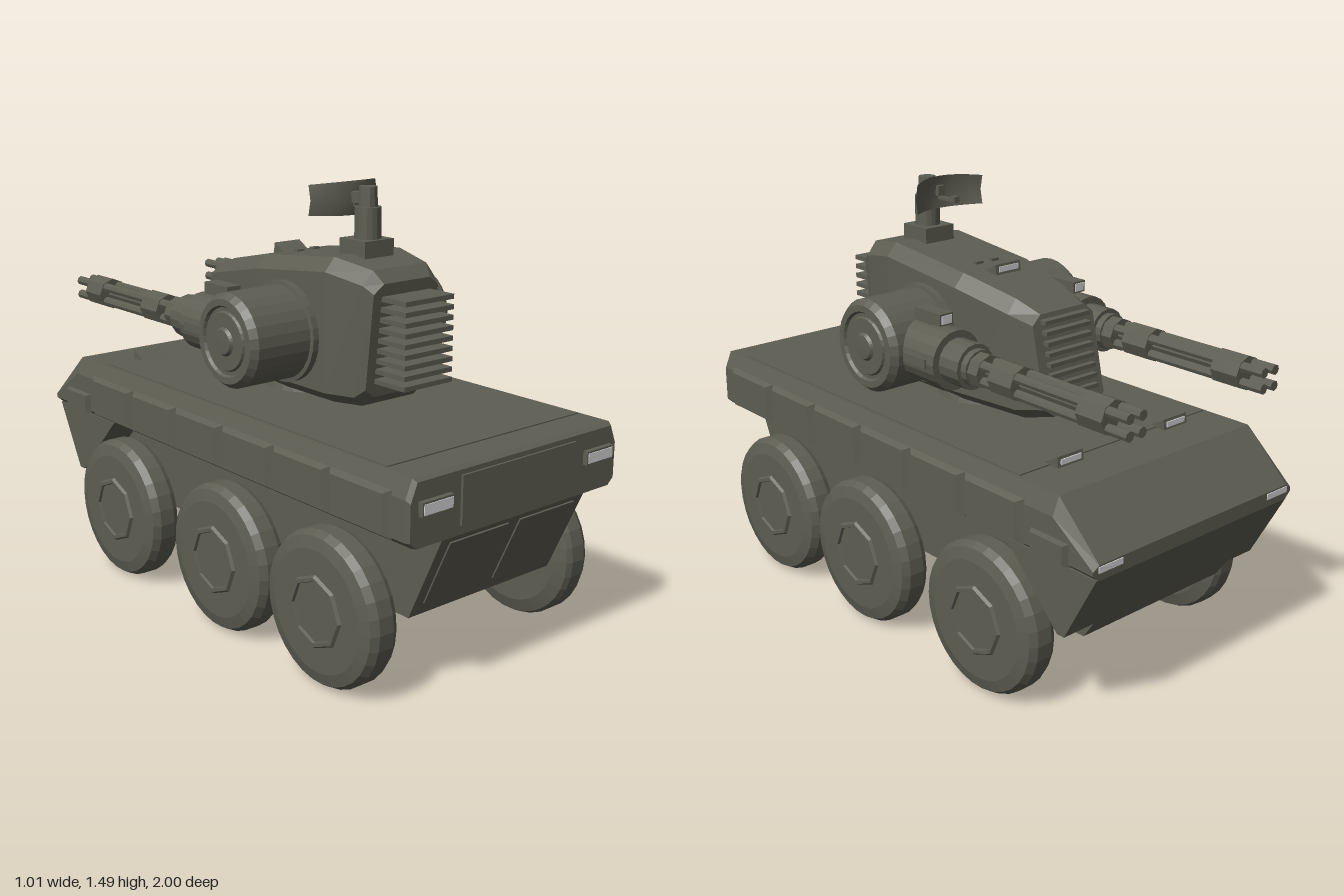
import * as THREE from 'three';

const V2 = (p) => new THREE.Vector2(p[0], p[1]);

// faceted normals
function flat(g) {
  const f = g.index ? g.toNonIndexed() : g;
  f.computeVertexNormals();
  return f;
}

// side profile of [z, y] points, extruded across x
function prism(profile, width) {
  const g = new THREE.ExtrudeGeometry(new THREE.Shape(profile.map(V2)), { depth: width, bevelEnabled: false });
  return g.translate(0, 0, -width / 2).rotateY(-Math.PI / 2);
}

// chamfered cross-section; z leans from zBottom to zTop
function ring({ w, y0, y1, z0, z1, cx, top, bottom }) {
  const right = [[w - cx, y0], [w, y0 + bottom], [w, y1 - top], [w - cx, y1]];
  const left = right.map(([x, y]) => [-x, y]).reverse();
  return [...right, ...left].map(([x, y]) => [x, y, z0 + (z1 - z0) * (y - y0) / (y1 - y0)]);
}

// skin over rings ordered from front to back, capped at both ends
function loft(rings) {
  const n = rings[0].length, idx = [];
  for (let s = 0; s < rings.length - 1; s++) {
    for (let i = 0; i < n; i++) {
      const j = (i + 1) % n, a = s * n, b = a + n;
      idx.push(a + i, b + i, b + j, a + i, b + j, a + j);
    }
  }
  const last = (rings.length - 1) * n;
  for (let i = 1; i < n - 1; i++) idx.push(0, i, i + 1, last, last + i + 1, last + i);
  const g = new THREE.BufferGeometry();
  g.setAttribute('position', new THREE.Float32BufferAttribute(rings.flat(2), 3));
  g.setIndex(idx);
  return flat(g);
}

// turned part along +x, points are [radius, x]
const turnedX = (pts, sides) =>
  flat(new THREE.LatheGeometry(pts.map(V2), sides).rotateZ(-Math.PI / 2));

// tube along z between two depths
function rodZ(r, zFront, zBack, sides) {
  return flat(new THREE.CylinderGeometry(r, r, zFront - zBack, sides).rotateX(Math.PI / 2).translate(0, 0, (zFront + zBack) / 2));
}

export function createModel() {
  const armour = new THREE.MeshStandardMaterial({ color: 0x5e5d52 });
  armour.name = 'olive armour';
  const glass = new THREE.MeshStandardMaterial({ color: 0xd6d6d6 });
  glass.name = 'pale lens';
  const sheet = new THREE.MeshStandardMaterial({ color: 0x5e5d52, side: THREE.DoubleSide });
  sheet.name = 'olive sheet';

  const model = new THREE.Group();
  model.name = 'armouredVehicle';
  const add = (name, geo, pos = [0, 0, 0], parent = model, mat = armour) => {
    const m = new THREE.Mesh(geo, mat);
    m.name = name;
    m.position.set(...pos);
    parent.add(m);
    return m;
  };
  const box = (name, size, pos, parent, mat) => add(name, new THREE.BoxGeometry(...size), pos, parent, mat);

  // upper hull with sloped tail
  const hull = (z, y1, top, w = 0.457) => ring({ w, y0: 0.555, y1, z0: z, z1: z, cx: 0.025, top, bottom: 0.022 });
  add('upperHull', loft([hull(0.98, 0.755, 0.06, 0.45), hull(0.965, 0.765, 0.06), hull(-0.83, 0.765, 0.06), hull(-0.997, 0.605, 0.015)]));
  box('deckPlate', [0.84, 0.006, 1.5], [0, 0.766, 0.1]);
  box('nosePanel', [0.5, 0.155, 0.014], [0, 0.662, 0.981]);

  // lower hull and rear skirt
  add('lowerHull', prism([[0.975, 0.556], [0.84, 0.26], [-0.83, 0.26], [-0.87, 0.32], [-0.99, 0.556]], 0.63));
  add('rearSkirt', prism([[-0.61, 0.556], [-0.84, 0.32], [-0.87, 0.32], [-0.995, 0.556]], 0.88));

  const panel = flat(new THREE.CylinderGeometry(0.59, 0.707, 1, 4).rotateY(Math.PI / 4)
    .scale(0.15, 0.02, 0.268).rotateZ(-Math.PI / 2));
  const tyre = turnedX([[0, -0.065], [0.2, -0.065], [0.245, -0.05], [0.255, -0.03], [0.255, 0.025],
    [0.24, 0.05], [0.2, 0.06], [0, 0.06]], 30);
  const hub = turnedX([[0.125, 0.055], [0.115, 0.07], [0.103, 0.07], [0.1, 0.061], [0, 0.061]], 8);
  const pod = turnedX([[0, 0.16], [0.172, 0.16], [0.172, 0.205], [0.158, 0.207], [0.158, 0.415], [0.14, 0.438],
    [0.118, 0.438], [0.112, 0.428], [0.1, 0.428], [0.095, 0.436], [0.048, 0.436], [0.04, 0.446], [0, 0.448]], 28);
  const periscope = prism([[0.04, 0], [-0.02, 0.035], [-0.025, 0]], 0.11);

  for (const s of [1, -1]) {
    const side = s > 0 ? 'left' : 'right';
    // side armour plates
    for (let i = 0; i < 7; i++) {
      const m = add(side + 'SidePanel', panel, [s * 0.465, 0.645, 0.775 - i * 0.27]);
      m.rotation.y = s > 0 ? 0 : Math.PI;
      if (i === 6) { m.scale.set(1, 0.5, 0.6); m.position.set(s * 0.465, 0.605, -0.82); }
    }
    // wheels
    for (const z of [0.62, 0.09, -0.53]) {
      const wheel = new THREE.Group();
      wheel.name = side + 'Wheel';
      wheel.position.set(s * 0.436, 0.256, z);
      if (s < 0) wheel.rotation.y = Math.PI;
      model.add(wheel);
      add('tyre', tyre, [0, 0, 0], wheel);
      add('hub', hub, [0, 0, 0], wheel);
      box('axle', [0.13, 0.075, 0.08], [-0.1, 0.005, 0], wheel);
      box('suspensionArm', [0.07, 0.04, 0.14], [-0.1, 0.05, 0], wheel);
    }
    // lamps
    box(side + 'HeadlightHousing', [0.125, 0.045, 0.025], [s * 0.357, 0.675, 0.985]);
    box(side + 'Headlight', [0.115, 0.033, 0.004], [s * 0.357, 0.675, 0.998], model, glass);
    box(side + 'TailLight', [0.1, 0.02, 0.004], [s * 0.385, 0.59, -0.998], model, glass);
    // sloped nose plates
    box(side + 'LowerNosePlate', [0.25, 0.25, 0.01], [s * 0.15, 0.42, 0.913]).rotation.x = 0.43;
    // rear deck periscopes
    add(side + 'DeckPeriscope', periscope, [s * 0.24, 0.765, -0.66]);
    box(side + 'DeckPeriscopeLens', [0.085, 0.018, 0.004], [s * 0.24, 0.782, -0.685], model, glass);

    // gun pod
    const arm = add(side + 'GunPod', pod, [0, 0.995, 0.09]);
    if (s < 0) arm.rotation.y = Math.PI;
    const gun = new THREE.Group();
    gun.name = side + 'Gun';
    gun.position.set(s * 0.3, 0.995, 0);
    model.add(gun);
    add('mantlet', rodZ(0.1, 0.05, -0.22, 20), [0, 0, 0], gun);
    add('mantletNeck', rodZ(0.076, -0.2, -0.31, 16), [0, 0, 0], gun);
    add('mantletMuzzle', rodZ(0.062, -0.3, -0.335, 16), [0, 0, 0], gun);
    for (let i = 0; i < 4; i++) {
      const a = Math.PI / 4 + i * Math.PI / 2;
      add('barrel', rodZ(0.017, -0.3, -0.998, 8), [Math.cos(a) * 0.037, Math.sin(a) * 0.037, 0], gun);
    }
    add('barrelCore', rodZ(0.02, -0.3, -0.9, 8), [0, 0, 0], gun);
    for (const z of [-0.33, -0.43, -0.81]) add('barrelClamp', rodZ(0.057, z, z - (z > -0.4 ? 0.05 : 0.105), 8), [0, 0, 0], gun);
    box('sightMount', [0.035, 0.05, 0.07], [0, 0.105, -0.08], gun);
    box('sight', [0.055, 0.04, 0.13], [0, 0.125, -0.105], gun);
    box('sightLens', [0.04, 0.028, 0.004], [0, 0.125, -0.171], gun, glass);
    box('sidePlate', [0.01, 0.03, 0.11], [s * 0.1, 0, -0.13], gun);
  }

  // turret
  add('turretRing', flat(new THREE.CylinderGeometry(0.15, 0.16, 0.04, 24)), [0, 0.778, -0.01]);
  const t = (w, y0, y1, z0, z1, top = 0.045, bottom = 0.035) => ring({ w, y0, y1, z0, z1, top, bottom, cx: 0.04 });
  add('turretBody', loft([
    t(0.14, 0.825, 1.2, 0.44, 0.48, 0.03, 0.03), t(0.155, 0.79, 1.24, 0.4, 0.445), t(0.182, 0.785, 1.266, 0.29, 0.29),
    t(0.182, 0.785, 1.227, -0.07, -0.07), t(0.15, 0.785, 1.18, -0.34, -0.29), t(0.135, 0.82, 1.145, -0.465, -0.39, 0.03, 0.03)]));
  // cooling slats at both ends
  for (let i = 0; i < 9; i++) {
    const y = 0.88 + i * 0.034, k = (y - 0.82) / 0.33;
    box('frontSlat', [0.21, 0.016, 0.14], [0, y, 0.515]);
    box('rearSlat', [0.2, 0.014, 0.06], [0, y - 0.03, -0.455 + 0.065 * k]);
  }
  // turret roof fittings
  add('roofPeriscope', periscope, [0, 1.215, -0.11]);
  box('roofPeriscopeLens', [0.085, 0.018, 0.004], [0, 1.233, -0.135], model, glass);
  for (const x of [-0.035, 0.035]) box('roofHinge', [0.03, 0.01, 0.02], [x, 1.235, -0.02]);

  // sensor mast and curved dish
  box('mastBase', [0.125, 0.07, 0.125], [0, 1.277, 0.285]);
  add('mast', flat(new THREE.CylinderGeometry(0.044, 0.044, 0.12, 16)), [0, 1.355, 0.29]);
  add('mastHead', flat(new THREE.CylinderGeometry(0.03, 0.033, 0.075, 12)), [0, 1.443, 0.29]);
  box('dishBracket', [0.03, 0.035, 0.08], [0, 1.44, 0.25]);
  const dish = new THREE.PlaneGeometry(0.29, 0.1, 10, 2), p = dish.attributes.position;
  for (let i = 0; i < p.count; i++) {
    const u = p.getX(i) / 0.145, v = p.getY(i) / 0.05;
    p.setXYZ(i, p.getX(i), p.getY(i) + (v > 0 ? 0.008 : -0.004) * v * v * (1 - u * u), -0.055 * u * u - 0.01 * v * v);
  }
  dish.computeVertexNormals();
  add('dish', dish, [0, 1.433, 0.228], model, sheet);
  box('feedArm', [0.012, 0.012, 0.1], [0, 1.415, 0.18]);
  box('feedTip', [0.022, 0.022, 0.02], [0, 1.42, 0.14]);
  return model;
}
